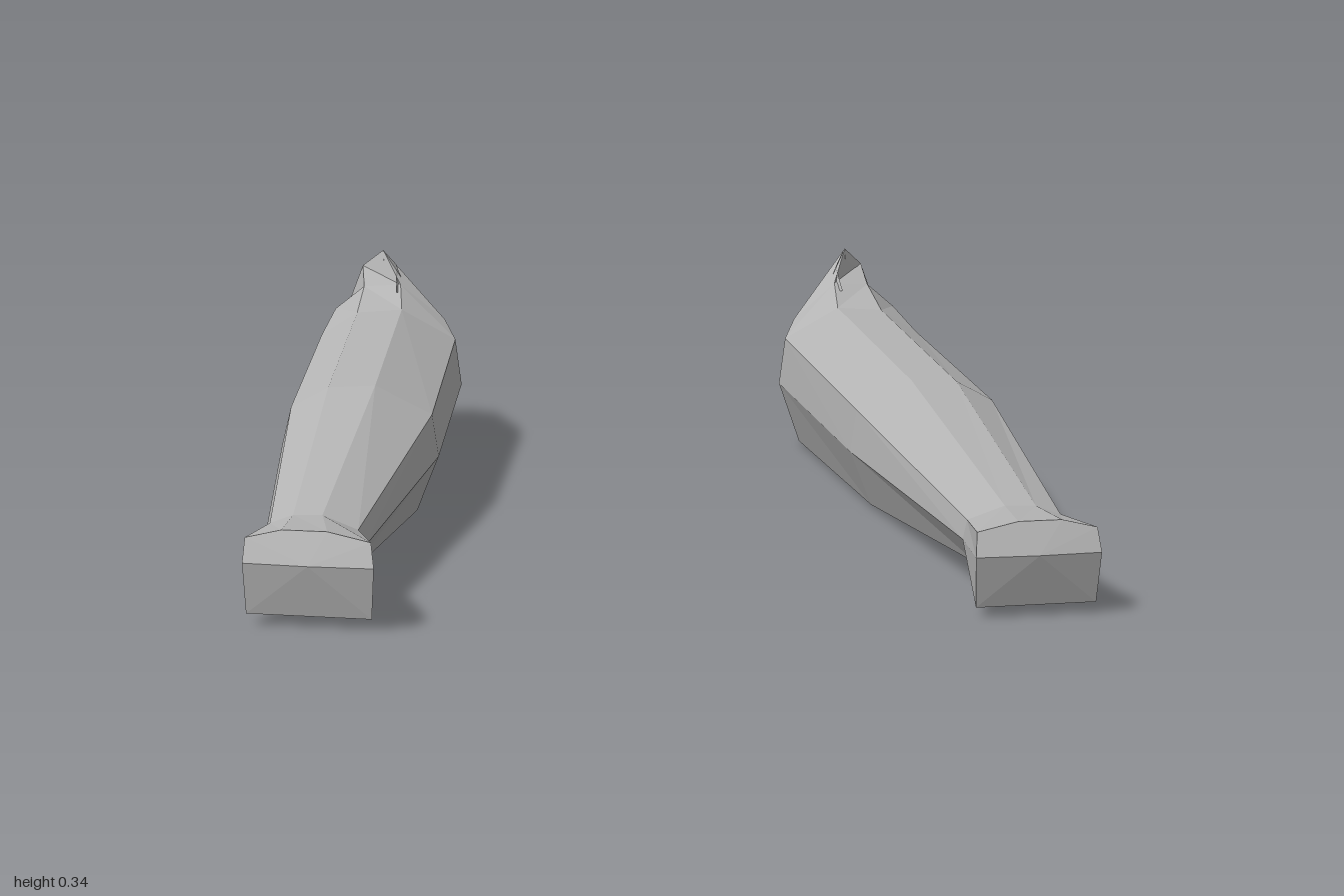
import * as THREE from 'three';

// Cross-section outlines: u runs inner to outer, v runs bottom to top
const ROUND = [[0.14, 0.02], [0.45, 0], [0.87, 0.08], [1, 0.52], [0.94, 0.82], [0.7, 0.98], [0.4, 1], [0.04, 0.78], [0, 0.45]];
const BOXY = [[0.02, 0], [0.5, 0], [0.98, 0], [1, 0.62], [0.98, 0.9], [0.7, 1], [0.35, 1], [0.02, 0.9], [0, 0.62]];

// Open rim at the back, slanted towards the inside
const RIM = [
  [0.40, 0.06, -0.80], [0.43, 0.03, -0.84], [0.485, 0.04, -0.90],
  [0.52, 0.13, -0.95], [0.525, 0.25, -0.955], [0.50, 0.315, -0.94],
  [0.46, 0.35, -0.88], [0.415, 0.275, -0.80], [0.37, 0.15, -0.78],
];

// Sections: [inner z, outer z, inner x, outer x, bottom y, top y]
const LEFT = {
  side: 1, tip: [0.935, 0.905, 0.395, 0.577, 0.02, 0.138], rimShift: [0, 0],
  sections: [
    [0.76, 0.74, 0.41, 0.565, 0.045, 0.13],
    [0.05, 0.0, 0.345, 0.605, 0.005, 0.215],
    [-0.65, -0.66, 0.307, 0.582, 0.005, 0.26],
    [-0.72, -0.83, 0.335, 0.56, 0.012, 0.295],
  ],
  spur: [[0.52, 0.25, -0.955], [0.50, 0.12, -0.94], [0.415, 0.17, -0.945]],
};
const RIGHT = {
  side: -1, tip: [0.955, 0.9, 0.432, 0.612, 0.02, 0.138], rimShift: [-0.03, -0.03],
  sections: [
    [0.78, 0.73, 0.45, 0.59, 0.045, 0.13],
    [0.05, 0.0, 0.335, 0.592, 0.005, 0.215],
    [-0.68, -0.69, 0.285, 0.56, 0.005, 0.26],
    [-0.75, -0.86, 0.305, 0.535, 0.012, 0.295],
  ],
  spur: [[0.485, 0.25, -0.985], [0.44, 0.14, -1.0], [0.325, 0.13, -0.98]],
};

function ring([zi, zo, xi, xo, yb, yt], outline, bulge = 0) {
  return outline.map(([u, v]) => [
    xi + (xo - xi) * u,
    yb + (yt - yb) * v,
    zi + (zo - zi) * u + bulge * Math.max(0, 1 - Math.abs(v - 0.45) * 1.9),
  ]);
}

// Mirrors triangles to the wanted side and makes a geometry
function geometryFrom(tris, side) {
  const pos = [];
  for (const t of tris) {
    const order = side > 0 ? t : [t[0], t[2], t[1]];
    for (const [x, y, z] of order) pos.push(x * side, y, z);
  }
  const g = new THREE.BufferGeometry();
  g.setAttribute('position', new THREE.Float32BufferAttribute(pos, 3));
  g.computeVertexNormals();
  return g;
}

function loft(rings) {
  const tris = [];
  for (let r = 0; r + 1 < rings.length; r++) {
    const a = rings[r], b = rings[r + 1];
    for (let i = 0; i < a.length; i++) {
      const j = (i + 1) % a.length;
      tris.push([a[i], b[i], a[j]], [a[j], b[i], b[j]]);
    }
  }
  return tris;
}

function buildLimb(spec, material, name) {
  const limb = new THREE.Group();
  limb.name = name;
  const add = (part, tris) => {
    const m = new THREE.Mesh(geometryFrom(tris, spec.side), material);
    m.name = part;
    limb.add(m);
  };

  // Long tapering sleeve
  const tip = ring(spec.tip, BOXY, 0.03);
  const [dx, dz] = spec.rimShift;
  const rim = RIM.map(([x, y, z]) => [x + dx, y, z + dz]);
  add('sleeve', loft([tip, ...spec.sections.map((s) => ring(s, ROUND)), rim]));

  // Blunt front end
  const [zi, zo, xi, xo, yb, yt] = spec.tip;
  const centre = [(xi + xo) / 2, yb + (yt - yb) * 0.62, (zi + zo) / 2 + 0.025];
  add('frontCap', tip.map((p, i) => [centre, p, tip[(i + 1) % tip.length]]));

  // Narrow lip turned in around the opening
  const mid = [0, 1, 2].map((k) => rim.reduce((s, p) => s + p[k], 0) / rim.length);
  const lip = rim.map((p) => p.map((c, k) => c + (mid[k] - c) * 0.1 + (k === 2 ? 0.015 : 0)));
  add('rimLip', loft([rim, lip]));

  // Ragged flaps at the opening
  add('rimSpur', [spec.spur]);
  add('topFlap', [[rim[6], [0.435 + dx, 0.33, -0.8 + dz], rim[7]],
    [[0.435 + dx, 0.32, -0.82 + dz], [0.435 + dx, 0.285, -0.72 + dz], rim[7]]]);
  return limb;
}

export function createModel() {
  const grey = new THREE.MeshStandardMaterial({ color: 0xb4b4b4, flatShading: true, side: THREE.DoubleSide });
  grey.name = 'plain grey';
  const model = new THREE.Group();
  model.name = 'pairOfSleeves';
  model.add(buildLimb(LEFT, grey, 'leftSleeve'), buildLimb(RIGHT, grey, 'rightSleeve'));
  return model;
}
